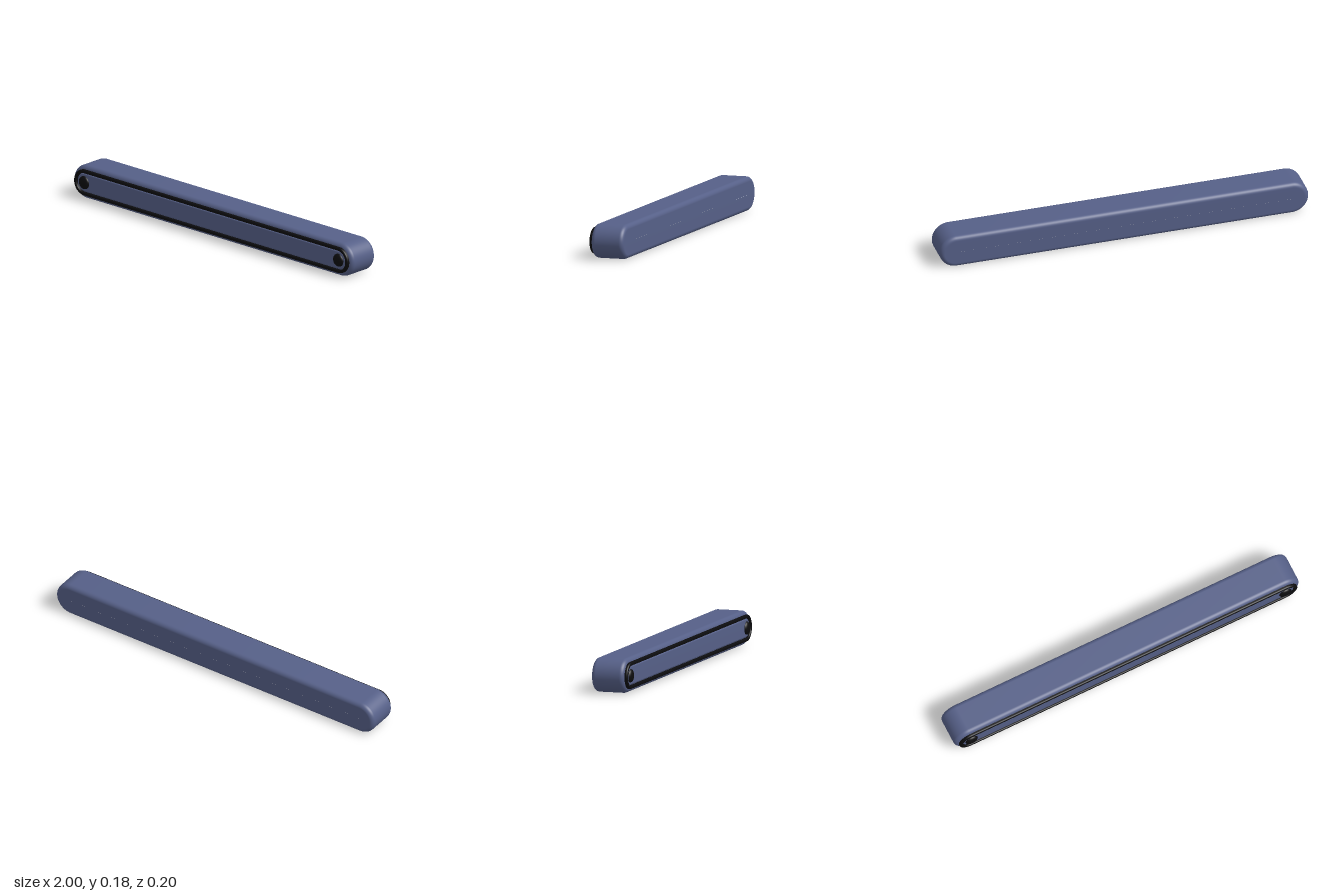
import * as THREE from 'three';

const HALF = 0.91;    // distance from the centre to each rounded end's axis
const MID = 0.09;     // height of the long axis
const SEGMENTS = 64;

const blue = new THREE.MeshStandardMaterial({ color: 0x566088 });
const black = new THREE.MeshStandardMaterial({ color: 0x0c0c0e });

// Quarter-round corner in (radius, z), swept from angle a0 to a1 (degrees)
function corner(r, z, radius, a0, a1, steps = 8) {
  return Array.from({ length: steps + 1 }, (_, i) => {
    const a = THREE.MathUtils.degToRad(a0 + ((a1 - a0) * i) / steps);
    return new THREE.Vector2(r + radius * Math.cos(a), z + radius * Math.sin(a));
  });
}

// Turned solid whose axis points to the front
function turned(points) {
  const geometry = new THREE.LatheGeometry(points, SEGMENTS, Math.PI / SEGMENTS);
  return geometry.rotateX(Math.PI / 2);
}

// Turned solid split in half and pulled apart into a long capsule outline
function stretched(points) {
  const geometry = turned(points);
  const pos = geometry.attributes.position;
  for (let i = 0; i < pos.count; i++) {
    pos.setX(i, pos.getX(i) + Math.sign(pos.getX(i)) * HALF);
  }
  return geometry;
}

function addPart(group, name, geometry, material, x = 0) {
  const mesh = new THREE.Mesh(geometry, material);
  mesh.name = name;
  mesh.position.set(x, MID, 0);
  group.add(mesh);
}

export function createModel() {
  const group = new THREE.Group();
  group.name = 'lightBar';
  const centre = 1e-4;

  // Housing with soft front and back edges
  addPart(group, 'housing', stretched([
    new THREE.Vector2(centre, -0.101),
    ...corner(0.066, -0.077, 0.024, -90, 0),
    ...corner(0.066, 0.054, 0.024, 0, 90),
    new THREE.Vector2(centre, 0.078),
  ]), blue);

  // Raised dark trim around the front
  addPart(group, 'trimRing', stretched([
    new THREE.Vector2(0.07, 0.07),
    ...corner(0.062, 0.085, 0.008, 0, 90, 6),
    ...corner(0.058, 0.087, 0.006, 90, 180, 6),
    new THREE.Vector2(0.052, 0.07),
  ]), black);

  // Front panel inside the trim
  addPart(group, 'frontPanel', stretched([
    new THREE.Vector2(0.05, 0.07),
    ...corner(0.042, 0.078, 0.008, 0, 90, 6),
    new THREE.Vector2(centre, 0.086),
  ]), blue);

  // Domed button at each end
  const dome = Array.from({ length: 11 }, (_, i) => {
    const a = (i / 10) * Math.PI / 2;
    return new THREE.Vector2(0.035 * Math.cos(a), 0.086 + 0.016 * Math.sin(a));
  });
  const button = turned([new THREE.Vector2(0.035, 0.075), ...dome]);
  for (const side of [1, -1]) {
    addPart(group, side > 0 ? 'leftButton' : 'rightButton', button, black, side * HALF);
  }
  return group;
}
